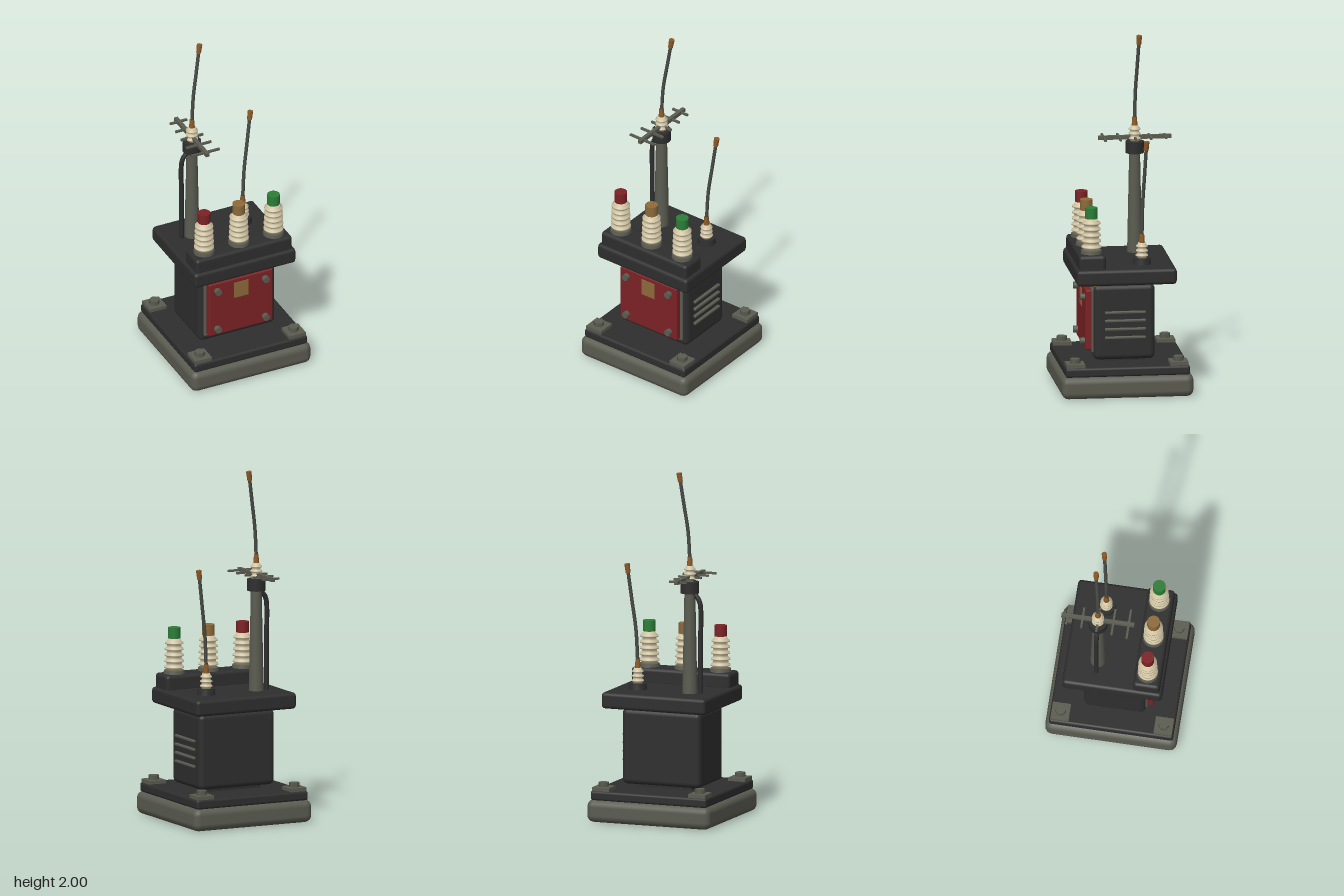
import * as THREE from 'three';
import { RoundedBoxGeometry } from 'three/addons/geometries/RoundedBoxGeometry.js';

const V = (x, y, z) => new THREE.Vector3(x, y, z);

export function createModel() {
  const root = new THREE.Group();
  root.name = 'transformerAntennaUnit';

  const mat = (name, color) => {
    const m = new THREE.MeshStandardMaterial({ color });
    m.name = name;
    return m;
  };
  const charcoal = mat('charcoal', 0x2e2e2f);
  const steel = mat('olive steel', 0x5a5b50);
  const rod = mat('dark rod', 0x484b45);
  const cream = mat('cream ceramic', 0xcfc3a2);
  const red = mat('red paint', 0x7c2225);
  const green = mat('green cap', 0x2c7d38);
  const brass = mat('brass', 0x8e6a3a);
  const copper = mat('copper', 0x8c5a28);

  const add = (name, geometry, material, x = 0, y = 0, z = 0, parent = root) => {
    const mesh = new THREE.Mesh(geometry, material);
    mesh.name = name;
    mesh.position.set(x, y, z);
    parent.add(mesh);
    return mesh;
  };
  // Boxes given by their extents: [x0, x1], [y0, y1], [z0, z1], optional corner radius
  const box = (name, material, [x0, x1], [y0, y1], [z0, z1], r = 0, seg = 2) => {
    const s = [x1 - x0, y1 - y0, z1 - z0];
    const g = r ? new RoundedBoxGeometry(...s, seg, r) : new THREE.BoxGeometry(...s);
    return add(name, g, material, (x0 + x1) / 2, (y0 + y1) / 2, (z0 + z1) / 2);
  };
  // Upright cylinder from y0 to y1
  const post = (name, material, x, y0, y1, z, rBottom, rTop = rBottom, sides = 20) =>
    add(name, new THREE.CylinderGeometry(rTop, rBottom, y1 - y0, sides), material, x, (y0 + y1) / 2, z);
  // Ribbed ceramic insulator: a core with evenly spaced sheds
  const insulator = (name, x, y0, y1, z, core, shed, count) => {
    const pts = [new THREE.Vector2(0, 0), new THREE.Vector2(core, 0)];
    const step = (y1 - y0) / (count + 0.4);
    for (let i = 0; i < count; i++) {
      const y = step * (i + 0.4), r = shed * (1 - 0.1 * i / count), c = core * (1 - 0.15 * i / count);
      pts.push(new THREE.Vector2(c, y), new THREE.Vector2(r, y + step * 0.1),
        new THREE.Vector2(r, y + step * 0.3), new THREE.Vector2(c, y + step * 0.55));
    }
    pts.push(new THREE.Vector2(core * 0.8, y1 - y0), new THREE.Vector2(0, y1 - y0));
    return add(name, new THREE.LatheGeometry(pts, 24), cream, x, y0, z);
  };
  const tube = (name, material, points, r) =>
    add(name, new THREE.TubeGeometry(new THREE.CatmullRomCurve3(points), 24, r, 10), material);

  // Plinth and deck
  box('plinth', steel, [-0.376, 0.376], [0, 0.13], [-0.376, 0.376], 0.04);
  box('deck', charcoal, [-0.355, 0.355], [0.125, 0.18], [-0.355, 0.355], 0.014);
  for (const sx of [-1, 1]) for (const sz of [-1, 1]) {
    add('cornerPad', new THREE.BoxGeometry(0.104, 0.025, 0.104), steel, sx * 0.295, 0.1875, sz * 0.295);
    post('anchorBolt', steel, sx * 0.295, 0.2, 0.226, sz * 0.295, 0.03, 0.03, 6);
  }

  // Cabinet on a small recessed foot
  box('cabinetFoot', charcoal, [-0.17, 0.17], [0.175, 0.21], [-0.12, 0.12]);
  box('cabinet', charcoal, [-0.24, 0.24], [0.198, 0.632], [-0.17, 0.18], 0.03, 3);
  box('cabinetNeck', charcoal, [-0.17, 0.17], [0.62, 0.655], [-0.12, 0.12]);
  box('doorGasket', steel, [-0.215, 0.215], [0.236, 0.612], [0.17, 0.19], 0.009);
  box('door', red, [-0.2, 0.2], [0.25, 0.598], [0.182, 0.222], 0.008);
  box('ratingPlate', brass, [-0.045, 0.045], [0.473, 0.573], [0.22, 0.226]);
  for (const x of [-0.15, 0.15]) for (const y of [0.295, 0.55]) {
    const bolt = add('doorBolt', new THREE.CylinderGeometry(0.02, 0.02, 0.03, 12), steel, x, y, 0.232);
    bolt.rotation.x = Math.PI / 2;
  }
  for (let i = 0; i < 4; i++) {
    const y = 0.329 + i * 0.0485;
    box('ventLouvre', steel, [0.232, 0.256], [y - 0.007, y + 0.007], [-0.115, 0.118], 0.004);
  }

  // Roof slab and terminal block
  box('roof', charcoal, [-0.318, 0.318], [0.643, 0.736], [-0.285, 0.285], 0.02);
  box('terminalBlock', charcoal, [-0.302, 0.302], [0.72, 0.818], [0.118, 0.27], 0.02);

  // Three bushings, each with a lead beneath the roof
  [[-0.218, red], [0, brass], [0.218, green]].forEach(([x, capMaterial]) => {
    post('bushingFlange', steel, x, 0.812, 0.836, 0.192, 0.062, 0.058, 24);
    insulator('bushing', x, 0.834, 1.02, 0.192, 0.045, 0.057, 5);
    post('bushingCap', capMaterial, x, 1.015, 1.082, 0.192, 0.036, 0.036, 24);
    post('lead', x === 0 ? charcoal : copper, x * 0.92, 0.61, 0.65, 0.155, 0.024, 0.03);
  });

  // Whip antenna: insulator, ferrule, bent rod and tip
  const whip = (x, base, top) => {
    const z = -0.103, start = base + 0.13, h = top - start;
    const bend = V(x + 0.01, start + h * 0.32, z - 0.003), end = V(x + 0.058, top, z - 0.02);
    insulator('whipInsulator', x, base, base + 0.09, z, 0.027, 0.036, 3);
    post('whipFerrule', copper, x, base + 0.075, base + 0.14, z, 0.018, 0.013, 14);
    tube('whipRod', rod, [V(x, start - 0.01, z), bend, bend.clone().lerp(end, 0.45), bend.clone().lerp(end, 0.97)], 0.01);
    const dir = end.clone().sub(bend).normalize();
    const tip = add('whipTip', new THREE.CylinderGeometry(0.016, 0.014, 0.052, 14), copper);
    tip.position.copy(end).addScaledVector(dir, -0.027);
    tip.quaternion.setFromUnitVectors(V(0, 1, 0), dir);
  };
  post('whipBase', charcoal, 0.167, 0.73, 0.772, -0.103, 0.054, 0.048, 24);
  whip(0.167, 0.77, 1.457);
  whip(-0.152, 1.378, 2.0);

  // Mast, collar and side conduit
  post('mast', steel, -0.152, 0.73, 1.32, -0.103, 0.043, 0.031, 20);
  post('mastCollar', charcoal, -0.152, 1.31, 1.376, -0.103, 0.053, 0.053, 24);
  tube('conduit', charcoal, [V(-0.217, 0.73, -0.103), V(-0.217, 1.0, -0.103), V(-0.217, 1.24, -0.103),
    V(-0.208, 1.272, -0.103), V(-0.175, 1.312, -0.103)], 0.014);

  // Directional array: boom with five tapering elements
  box('arrayBoom', steel, [-0.163, -0.141], [1.389, 1.411], [-0.312, 0.105]);
  for (let i = 0; i < 5; i++) {
    const half = 0.053 + i * 0.0087, z = -0.278 + i * 0.0878;
    box('arrayElement', steel, [-0.152 - half, -0.152 + half], [1.394, 1.406], [z - 0.006, z + 0.006]);
  }
  return root;
}
